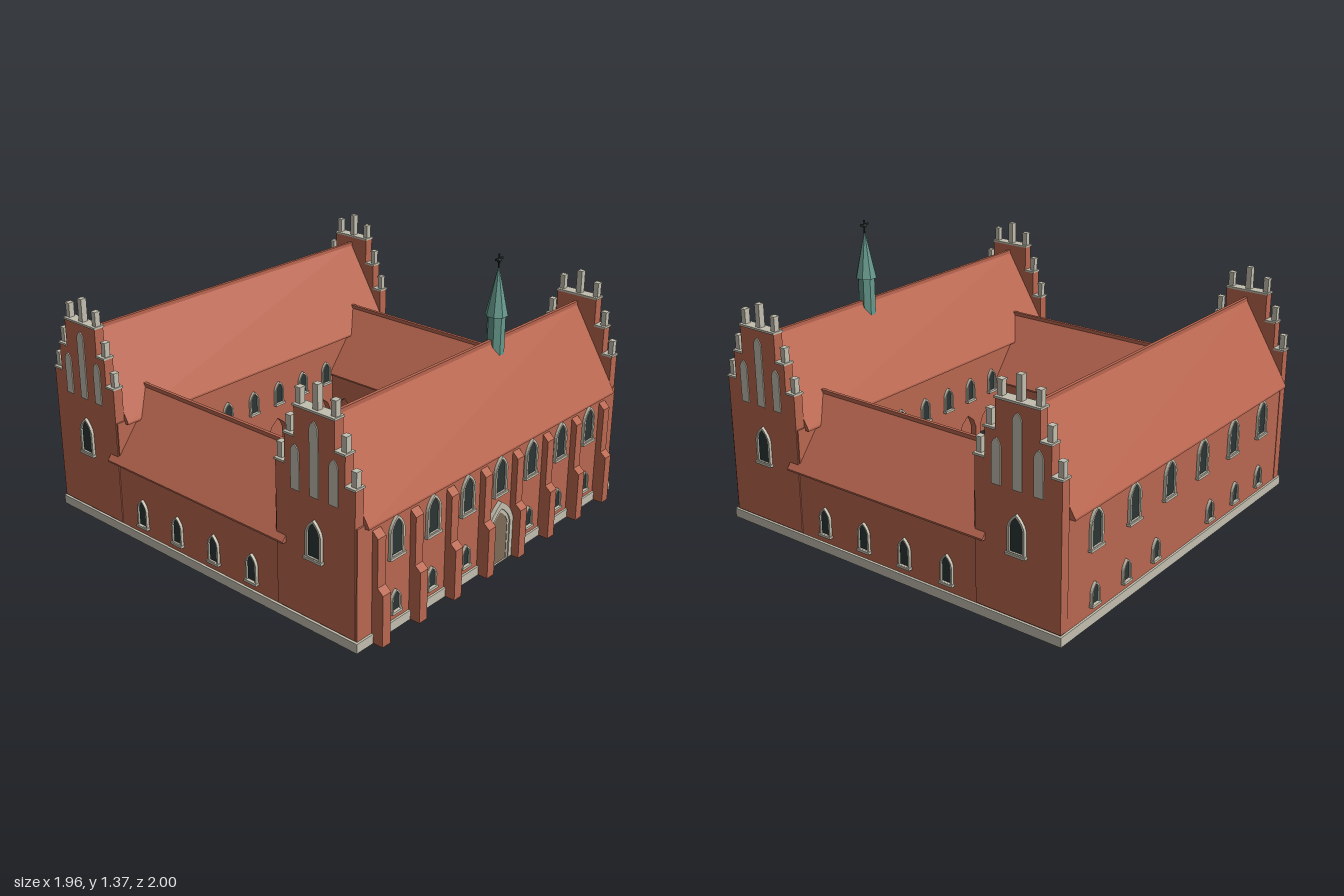
import * as THREE from 'three';

const mat = (name, color) => {
  const m = new THREE.MeshStandardMaterial({ color });
  m.name = name;
  return m;
};

export function createModel() {
  const brick = mat('brick', 0xb8674f), tile = mat('roofTile', 0xb9664f);
  const stone = mat('stone', 0xc2bfaf), glass = mat('darkGlass', 0x2b3534);
  const copper = mat('copper', 0x66998c), wood = mat('doorWood', 0x7d6b57);
  const leaf = mat('leaf', 0x6f9d66), soil = mat('soil', 0x5c4b39), iron = mat('iron', 0x262c2a);

  const root = new THREE.Group();
  const CZ = -0.02, FRONT = 0.715, BACK = -0.755; // court centre and ridge lines

  // Adds a faceted mesh
  const add = (parent, name, geo, material, x = 0, y = 0, z = 0) => {
    const g = geo.index ? geo.toNonIndexed() : geo;
    g.computeVertexNormals();
    const mesh = new THREE.Mesh(g, material);
    mesh.name = name;
    mesh.position.set(x, y, z);
    parent.add(mesh);
    return mesh;
  };
  // Box given by its limits
  const box = (parent, name, m, x0, x1, y0, y1, z0, z1) =>
    add(parent, name, new THREE.BoxGeometry(x1 - x0, y1 - y0, z1 - z0), m, (x0 + x1) / 2, (y0 + y1) / 2, (z0 + z1) / 2);
  const poly = (pts) => new THREE.Shape(pts.map(([x, y]) => new THREE.Vector2(x, y)));
  const extrude = (shape, depth) => new THREE.ExtrudeGeometry(shape, { depth, bevelEnabled: false, curveSegments: 4 });
  // Group whose local +z points out of a wall
  const face = (name, x, y, z, ry) => {
    const g = new THREE.Group();
    g.name = name;
    g.position.set(x, y, z);
    g.rotation.y = ry;
    root.add(g);
    return g;
  };

  // Pointed arch outline standing on y = y0
  const arch = (w, h, y0 = 0, rise = w * 0.75) => {
    const s = new THREE.Shape(), a = w / 2;
    s.moveTo(-a, y0);
    s.lineTo(a, y0);
    s.lineTo(a, y0 + h - rise);
    s.quadraticCurveTo(a * 0.85, y0 + h - rise * 0.45, 0, y0 + h);
    s.quadraticCurveTo(-a * 0.85, y0 + h - rise * 0.45, -a, y0 + h - rise);
    return s;
  };
  // Window with stone surround and sill
  const windowAt = (wall, u, y, w, h) => {
    const t = w * 0.13, frame = arch(w, h);
    frame.holes.push(arch(w - 2 * t, h - 2.2 * t, t));
    add(wall, 'windowFrame', extrude(frame, 0.014), stone, u, y, 0);
    add(wall, 'windowPane', extrude(arch(w - 2 * t, h - 2.2 * t, t), 0.005), glass, u, y, 0);
    box(wall, 'windowSill', stone, u - w * 0.56, u + w * 0.56, y - 0.004, y + 0.008, 0, 0.02);
  };

  // Ground storey, open towards the cloister
  box(root, 'frontGroundStorey', brick, -0.955, 0.955, 0, 0.27, 0.66, 0.94);
  box(root, 'backGroundStorey', brick, -0.955, 0.955, 0, 0.27, -0.97, -0.7);
  // Upper storeys overhang the cloister walk
  box(root, 'frontUpperStorey', brick, -0.955, 0.955, 0.27, 0.565, 0.49, 0.94);
  box(root, 'backUpperStorey', brick, -0.955, 0.955, 0.27, 0.565, -0.97, -0.53);
  for (const s of [-1, 1]) {
    const [a, b, c] = s > 0 ? [0.68, 0.955, 0.51] : [-0.955, -0.68, -0.955];
    box(root, 'wingGroundStorey', brick, a, b, 0, 0.27, -0.7, 0.66);
    box(root, 'wingUpperStorey', brick, c, c + 0.445, 0.27, 0.378, -0.53, 0.49);
    box(root, 'sidePlinth', stone, s > 0 ? 0.955 : -0.967, s > 0 ? 0.967 : -0.955, 0, 0.045, -0.98, 0.95);
  }
  box(root, 'frontPlinth', stone, -0.955, 0.955, 0, 0.045, 0.94, 0.95);
  box(root, 'backPlinth', stone, -0.955, 0.955, 0, 0.045, -0.98, -0.97);

  // Cloister arcades: comb of pointed openings between pillars
  const bay = 0.17, comb = [[-0.51, 0.27], [-0.51, 0]];
  for (let i = 0; i < 6; i++) {
    const x = -0.51 + bay * i;
    comb.push([x + 0.02, 0], [x + 0.02, 0.16], [x + 0.04, 0.205], [x + bay / 2, 0.24],
      [x + bay - 0.04, 0.205], [x + bay - 0.02, 0.16], [x + bay - 0.02, 0]);
  }
  comb.push([0.51, 0], [0.51, 0.27]);
  for (let i = 0; i < 4; i++) {
    const g = face('cloisterArcade', 0, 0, CZ, (i * Math.PI) / 2);
    add(g, 'arches', extrude(poly(comb), 0.035), brick, 0, 0, 0.51);
  }

  // Main roofs
  for (const z of [FRONT, BACK]) {
    const g = face('mainRoof', -0.91, 0, z, Math.PI / 2);
    add(g, 'slopes', extrude(poly([[-0.245, 0.55], [0.245, 0.55], [0.245, 0.56], [0, 0.962], [-0.245, 0.56]]), 1.82), tile);
    box(root, 'ridgeCap', tile, -0.91, 0.91, 0.952, 0.97, z - 0.008, z + 0.008);
  }
  // Wing roofs running into the main roofs
  for (const s of [-1, 1]) {
    add(root, 'wingRoof', extrude(poly([[-0.245, 0.362], [0.245, 0.362], [0.245, 0.37], [0, 0.68], [-0.245, 0.37]]), 1.14),
      tile, s * 0.735, 0, -0.59);
    box(root, 'wingRidgeCap', tile, s * 0.735 - 0.008, s * 0.735 + 0.008, 0.67, 0.688, -0.59, 0.55);
  }

  // Stepped gables
  const steps = [[0.2175, 0.73], [0.165, 0.865], [0.11, 1.0]];
  const outline = [[-0.2175, 0.05], [0.2175, 0.05], [0.2175, 0.73], [0.165, 0.73], [0.165, 0.865], [0.11, 0.865], [0.11, 1],
    [-0.11, 1], [-0.11, 0.865], [-0.165, 0.865], [-0.165, 0.73], [-0.2175, 0.73]];
  for (const s of [-1, 1]) for (const z of [FRONT, BACK]) {
    const g = face('steppedGable', s * 0.96, 0, z, (s * Math.PI) / 2);
    add(g, 'gableWall', extrude(poly(outline), 0.05), brick, 0, 0, -0.05);
    steps.forEach(([w, y], i) => {
      const inner = i < 2 ? steps[i + 1][0] : 0;
      for (const k of [-1, 1]) {
        const a = k * inner, b = k * (w + 0.004);
        box(g, 'stepCoping', stone, Math.min(a, b), Math.max(a, b), y, y + 0.01, -0.054, 0.005);
        const u = k * (w - 0.015);
        box(g, 'pinnacle', stone, u - 0.013, u + 0.013, y, y + 0.08, -0.038, -0.01);
        box(g, 'pinnacleCap', stone, u - 0.015, u + 0.015, y + 0.072, y + 0.08, -0.04, -0.008);
      }
    });
    box(g, 'topPinnacle', stone, -0.014, 0.014, 1, 1.12, -0.039, -0.009);
    for (const [u, h] of [[-0.105, 0.205], [0, 0.335], [0.105, 0.205]])
      add(g, 'blindNiche', extrude(arch(0.046, h), 0.005), stone, u, 0.63, 0);
    windowAt(g, 0, 0.345, 0.09, 0.185);
  }

  // Facade windows
  const front = face('frontWindows', 0, 0, 0.94, 0), back = face('backWindows', 0, 0, -0.97, Math.PI);
  for (let i = -3; i <= 3; i++) {
    windowAt(front, i * 0.24, 0.35, 0.09, 0.19);
    if (i) for (const wall of [front, back]) windowAt(wall, i * 0.24, 0.085, 0.058, 0.108);
  }
  for (let i = 0; i < 6; i++) windowAt(back, -0.72 + i * 0.288, 0.35, 0.09, 0.19);
  for (const s of [-1, 1]) {
    const side = face('wingWindows', s * 0.955, 0, CZ, (s * Math.PI) / 2);
    for (const u of [-0.36, -0.12, 0.12, 0.36]) windowAt(side, u, 0.085, 0.066, 0.142);
  }
  // Courtyard windows
  for (const g of [face('courtWindowsBack', 0, 0, -0.53, 0), face('courtWindowsFront', 0, 0, 0.49, Math.PI)])
    for (let i = 0; i < 6; i++) windowAt(g, -0.45 + i * 0.18, 0.325, 0.06, 0.125);

  // Buttresses with sloped offsets
  const buttress = poly([[0, 0], [0.062, 0], [0.062, 0.245], [0.032, 0.27], [0.032, 0.495], [0, 0.525]]);
  for (let i = 0; i < 8; i++) {
    const x = -0.84 + i * 0.24;
    const g = face('buttress', x + 0.025, 0, 0.938, -Math.PI / 2);
    add(g, 'buttressPier', extrude(buttress, 0.05), brick);
  }

  // Portal with stepped stone surround
  [[0.19, 0.315, 0.145, 0.28, 0.02], [0.155, 0.285, 0.12, 0.26, 0.014]].forEach(([w, h, iw, ih, d]) => {
    const s = arch(w, h, 0, w * 0.6);
    s.holes.push(arch(iw, ih, 0.0005, iw * 0.6));
    add(root, 'portalSurround', extrude(s, d), stone, 0, 0, 0.94);
  });
  add(root, 'portalDoor', extrude(arch(0.122, 0.262, 0, 0.075), 0.005), wood, 0, 0, 0.947);

  // Ridge turret
  const turret = face('ridgeTurret', 0.24, 0, FRONT, Math.PI / 8);
  add(turret, 'turretShaft', new THREE.CylinderGeometry(0.043, 0.043, 0.2, 8), copper, 0, 0.99, 0);
  add(turret, 'turretSpire', new THREE.CylinderGeometry(0.004, 0.053, 0.22, 8), copper, 0, 1.19, 0);
  const cross = face('spireCross', 0.24, 0, FRONT, 0);
  add(cross, 'rod', new THREE.CylinderGeometry(0.004, 0.004, 0.08, 6), iron, 0, 1.325, 0);
  add(cross, 'ball', new THREE.SphereGeometry(0.011, 8, 6), iron, 0, 1.335, 0);
  box(cross, 'crossArm', iron, -0.026, 0.026, 1.338, 1.347, -0.004, 0.004);

  // Courtyard paths and fountain
  box(root, 'crossPath', stone, -0.49, 0.49, 0, 0.012, CZ - 0.048, CZ + 0.048);
  box(root, 'longPathBack', stone, -0.04, 0.04, 0, 0.012, -0.52, CZ - 0.048);
  box(root, 'longPathFront', stone, -0.04, 0.04, 0, 0.012, CZ + 0.048, 0.48);
  const fountain = face('fountain', 0, 0, CZ, Math.PI / 8);
  const lathe = (pts) => new THREE.LatheGeometry(pts.map(([x, y]) => new THREE.Vector2(x, y)), 8);
  add(fountain, 'basin', lathe([[0, 0.001], [0.105, 0.001], [0.105, 0.055], [0.087, 0.055], [0.087, 0.02], [0, 0.02]]), stone);
  add(fountain, 'water', new THREE.CylinderGeometry(0.088, 0.088, 0.02, 8), copper, 0, 0.034, 0);
  add(fountain, 'bowl', lathe([[0.018, 0.03], [0.018, 0.08], [0.045, 0.1], [0.045, 0.11], [0, 0.105]]), stone);
  add(fountain, 'spout', new THREE.CylinderGeometry(0.009, 0.012, 0.035, 8), stone, 0, 0.12, 0);

  // Garden beds
  for (const x of [-0.35, -0.12, 0.12, 0.35]) for (const z of [CZ - 0.27, CZ + 0.27]) {
    const bed = face('gardenBed', x, 0, z, 0);
    box(bed, 'soilBox', soil, -0.086, 0.086, 0, 0.025, -0.07, 0.07);
    box(bed, 'hedge', leaf, -0.08, 0.08, 0.025, 0.035, -0.064, 0.064);
    for (const u of [-0.05, 0, 0.05]) for (const v of [-0.03, 0.03])
      box(bed, 'shrub', leaf, u - 0.017, u + 0.017, 0.035, 0.055, v - 0.017, v + 0.017);
  }
  return root;
}
